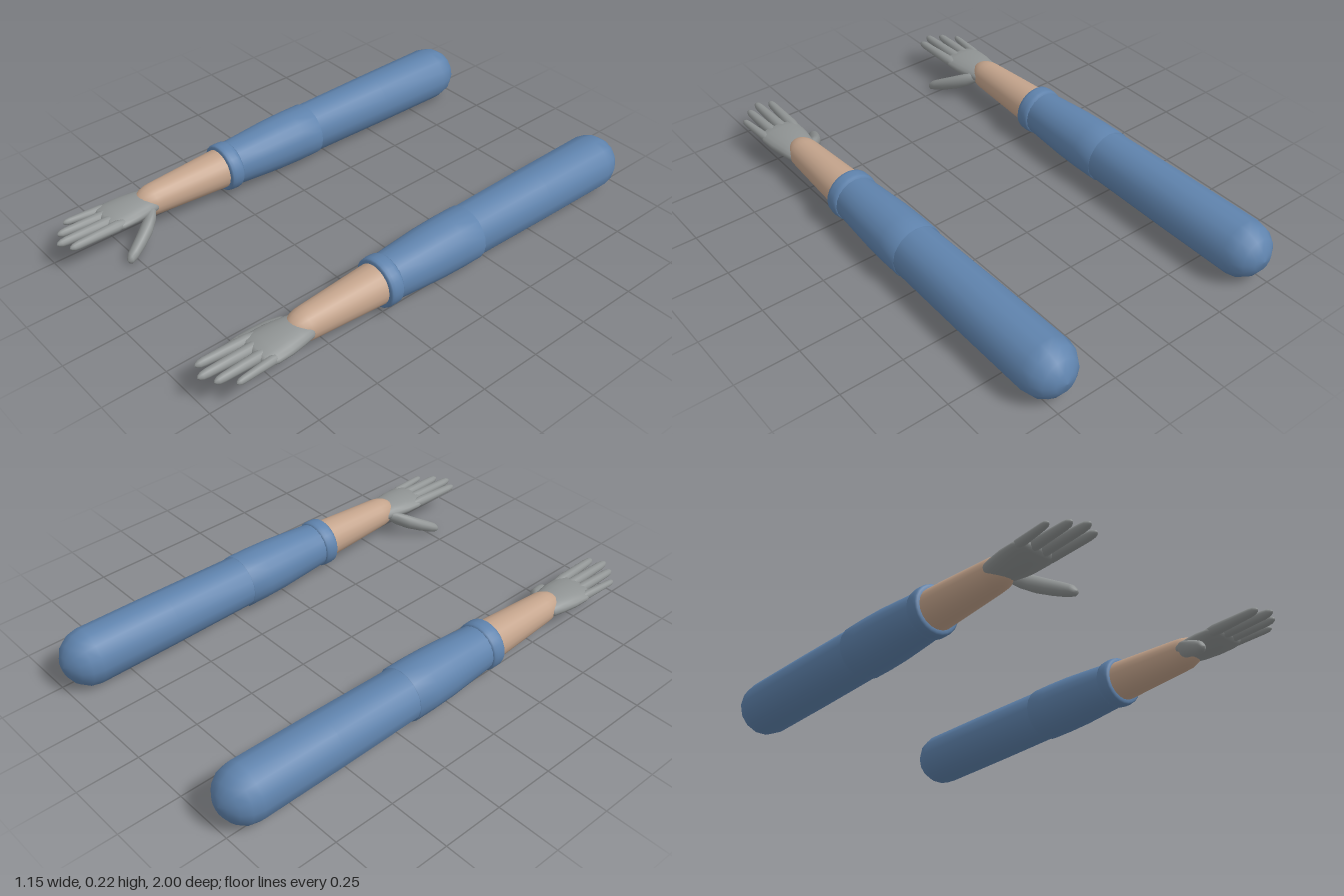
import * as THREE from 'three';

const CX = 0.465, CY = 0.117;

const sleeveMat = new THREE.MeshStandardMaterial({ color: 0x5f83ad });
sleeveMat.name = 'blueSleeve';
const skinMat = new THREE.MeshStandardMaterial({ color: 0xc4a48c });
skinMat.name = 'skin';
const gloveMat = new THREE.MeshStandardMaterial({ color: 0x909494 });
gloveMat.name = 'greyGlove';

// Smooth skin over elliptical rings [x, y, z, rx, ry], ordered along +z
function loft(name, rings, sides, material) {
  const pos = [], index = [];
  rings.forEach(([x, y, z, rx, ry]) => {
    for (let i = 0; i < sides; i++) {
      const a = (i / sides) * Math.PI * 2;
      pos.push(x + rx * Math.cos(a), y + ry * Math.sin(a), z);
    }
  });
  for (let r = 0; r < rings.length - 1; r++) {
    for (let i = 0; i < sides; i++) {
      const a = r * sides + i, b = r * sides + ((i + 1) % sides);
      index.push(a, b, b + sides, a, b + sides, a + sides);
    }
  }
  const g = new THREE.BufferGeometry();
  g.setAttribute('position', new THREE.Float32BufferAttribute(pos, 3));
  g.setIndex(index);
  g.computeVertexNormals();
  const mesh = new THREE.Mesh(g, material);
  mesh.name = name;
  return mesh;
}

// Round rings on the arm axis from [z, radius] pairs
const onAxis = (x, list) => list.map(([z, r]) => [x, CY, z, r, r]);

// Dome rings: dir -1 opens the shape at the back, +1 closes it at the front
function dome(z, r, length, dir, steps = 4) {
  const out = [];
  for (let i = 0; i <= steps; i++) {
    const a = (i / steps) * Math.PI / 2;
    out.push([z + dir * length * Math.sin(a), i === steps ? 0.0005 : r * Math.cos(a)]);
  }
  return dir < 0 ? out.reverse() : out;
}

// Tapered finger with a rounded tip, from base point to tip point
function finger(name, base, tip, r0, r1) {
  const rings = [];
  const add = (t, r) => rings.push([
    base[0] + (tip[0] - base[0]) * t, base[1] + (tip[1] - base[1]) * t,
    base[2] + (tip[2] - base[2]) * t, r, r]);
  add(0, r0 * 0.8);
  add(0.15, r0);
  add(0.5, (r0 + r1) / 2);
  add(0.85, r1);
  add(0.93, r1 * 0.85);
  add(0.98, r1 * 0.5);
  add(1, 0.0005);
  return loft(name, rings, 12, gloveMat);
}

function makeArm(side) {
  const arm = new THREE.Group();
  arm.name = side > 0 ? 'leftArm' : 'rightArm';
  const x = side * CX;

  // Sleeve: upper arm with a rounded shoulder, then the forearm sleeve
  arm.add(loft('upperSleeve', onAxis(x, [
    ...dome(-0.89, 0.112, 0.11, -1), [-0.55, 0.109], [-0.16, 0.103],
  ]), 14, sleeveMat));
  arm.add(loft('forearmSleeve', onAxis(x, [
    [-0.185, 0.09], [-0.19, 0.108], [-0.1, 0.108], [0, 0.105], [0.1, 0.098], [0.22, 0.089],
  ]), 20, sleeveMat));

  // Rolled cuff
  arm.add(loft('cuff', onAxis(x, [
    [0.2, 0.08], [0.2, 0.09], [0.207, 0.096], [0.22, 0.098], [0.243, 0.098],
    [0.255, 0.096], [0.261, 0.09], [0.261, 0.076],
  ]), 24, sleeveMat));

  // Bare lower forearm and rounded wrist
  arm.add(loft('bareForearm', onAxis(x, [
    [0.22, 0.081], [0.26, 0.08], [0.42, 0.071], ...dome(0.56, 0.063, 0.095, 1, 6),
  ]), 20, skinMat));

  // Gloved hand
  const hand = new THREE.Group();
  hand.name = 'hand';
  const px = side * 0.468, py = 0.117;
  hand.add(loft('palm', [
    [px, py, 0.565, 0.0005, 0.0005], [px, py, 0.57, 0.05, 0.025], [px, py, 0.585, 0.064, 0.034],
    [px, py, 0.63, 0.074, 0.038], [px, py, 0.69, 0.084, 0.037], [px, py, 0.75, 0.087, 0.031],
    [px, py, 0.785, 0.08, 0.024], [px, py, 0.797, 0.055, 0.015], [px, py, 0.8, 0.0005, 0.0005],
  ], 20, gloveMat));

  // Four fingers: base x, tip x, tip z, base radius
  [
    ['littleFinger', 0.532, 0.547, 0.918, 0.018],
    ['ringFinger', 0.491, 0.497, 0.97, 0.022],
    ['middleFinger', 0.447, 0.446, 1.0, 0.023],
    ['indexFinger', 0.405, 0.395, 0.975, 0.022],
  ].forEach(([name, bx, tx, tz, r]) => {
    hand.add(finger(name, [side * bx, 0.12, 0.74], [side * tx, 0.122, tz], r, r * 0.75));
  });

  // Thumb pointing inward and down
  const t = (tx, ty, tz, r) => [side * tx, ty, tz, r, r];
  hand.add(loft('thumb', [
    t(0.43, 0.11, 0.59, 0.012), t(0.405, 0.1, 0.62, 0.03), t(0.375, 0.079, 0.66, 0.033),
    t(0.347, 0.055, 0.71, 0.03), t(0.325, 0.035, 0.755, 0.026), t(0.315, 0.025, 0.78, 0.021),
    t(0.312, 0.021, 0.79, 0.013), t(0.311, 0.02, 0.795, 0.0005),
  ], 14, gloveMat));
  arm.add(hand);
  return arm;
}

export function createModel() {
  const model = new THREE.Group();
  model.name = 'arms';
  for (const side of [1, -1]) model.add(makeArm(side));
  return model;
}
